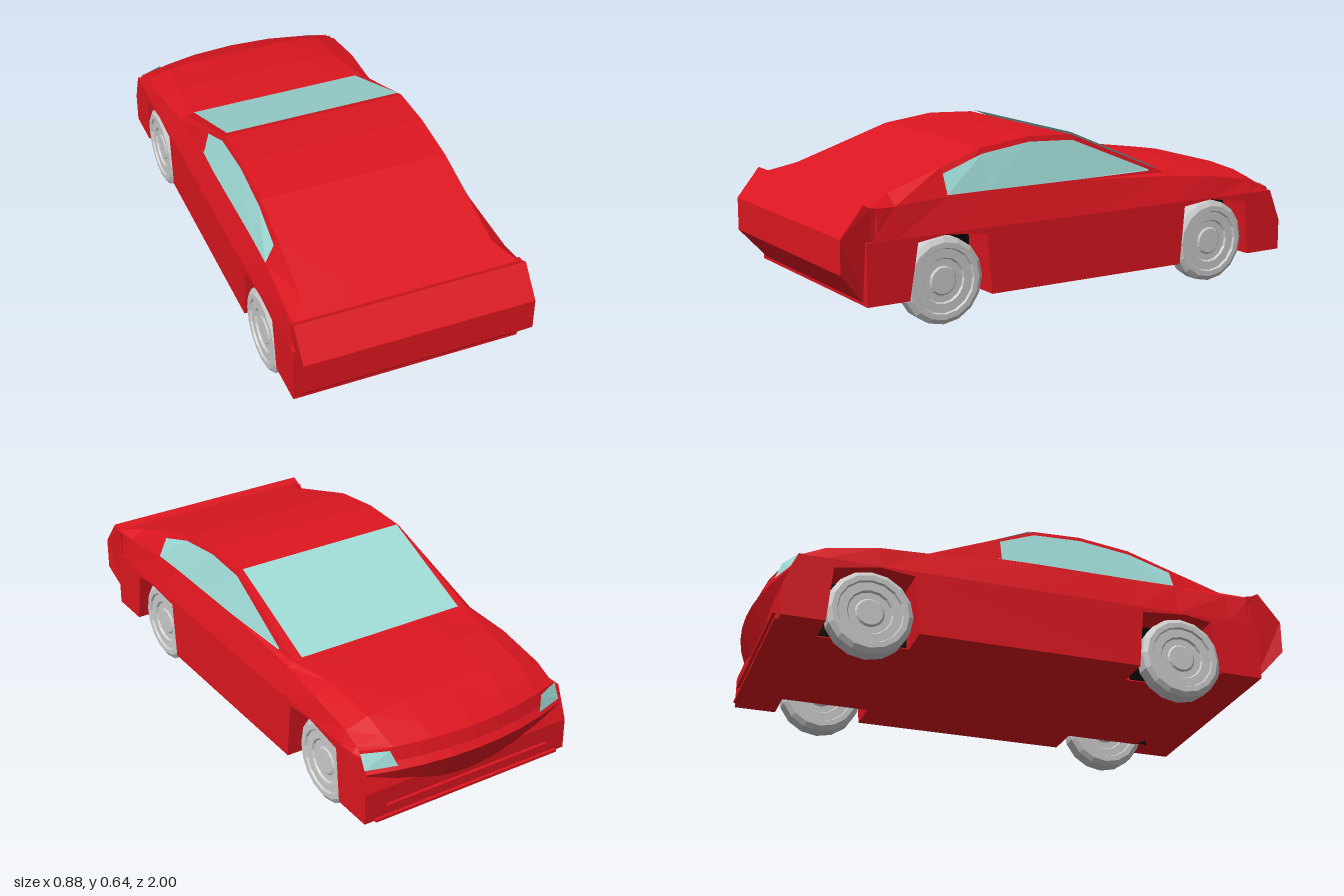
import * as THREE from 'three';

const mat = (color) => new THREE.MeshStandardMaterial({ color, flatShading: true, side: THREE.DoubleSide });
const paint = mat(0xdd1620), glass = mat(0xa0dcd8), black = mat(0x0c0202), grey = mat(0xcccccc);

// Upper body stations: z, centre height, crown drop, top half-width, shoulder height, shoulder half-width, belt half-width, plan curve
const BELT = 0.345;
const stations = [
  [0.88, 0.465, 0, 0.425, 0.460, 0.435, 0.44, 0],
  [0.78, 0.497, 0, 0.370, 0.458, 0.425, 0.44, 0],
  [0.57, 0.565, 0, 0.365, 0.468, 0.410, 0.44, 0],
  [0.40, 0.620, 0, 0.362, 0.470, 0.405, 0.44, 0],
  [0.20, 0.645, 0, 0.360, 0.470, 0.405, 0.44, 0],
  [0.01, 0.636, 0, 0.362, 0.470, 0.405, 0.44, 0],
  [-0.41, 0.459, 0.002, 0.385, 0.445, 0.408, 0.44, 0],
  [-0.60, 0.460, 0.008, 0.340, 0.430, 0.420, 0.44, 0],
  [-0.80, 0.435, 0.012, 0.330, 0.395, 0.420, 0.44, 0],
  [-0.90, 0.393, 0.010, 0.320, 0.365, 0.420, 0.435, 0.2],
  [-0.965, 0.362, 0.003, 0.310, 0.352, 0.415, 0.425, 0.4],
];

// Grid of rows of [x, y, z] points turned into a surface
function surface(rows) {
  const n = rows[0].length, index = [];
  for (let i = 0; i < rows.length - 1; i++)
    for (let j = 0; j < n - 1; j++) {
      const a = i * n + j, b = a + n;
      index.push(a, a + 1, b, b, a + 1, b + 1);
    }
  const g = new THREE.BufferGeometry();
  g.setAttribute('position', new THREE.Float32BufferAttribute(rows.flat(2), 3));
  g.setIndex(index);
  g.computeVertexNormals();
  return g;
}

// Side profile of [z, y] points extruded across x from x0 to x1
function slab(profile, x0, x1, steps = 1) {
  const shape = new THREE.Shape(profile.map(([z, y]) => new THREE.Vector2(z, y)));
  const g = new THREE.ExtrudeGeometry(shape, { depth: x1 - x0, steps, bevelEnabled: false });
  return g.rotateY(-Math.PI / 2).translate(x1, 0, 0);
}

// Move each vertex by a rule
function warp(g, rule) {
  const p = g.attributes.position, v = new THREE.Vector3();
  for (let i = 0; i < p.count; i++) {
    rule(v.fromBufferAttribute(p, i));
    p.setXYZ(i, v.x, v.y, v.z);
  }
  g.computeVertexNormals();
  return g;
}

// Half-width of the cabin side at a given z and y
function cabinX(z, y) {
  let i = 0;
  while (i < stations.length - 2 && stations[i + 1][0] > z) i++;
  const s = stations[i], e = stations[i + 1], t = (s[0] - z) / (s[0] - e[0]);
  const [, top, , topW, sh, shW] = s.map((v, k) => v + (e[k] - v) * t);
  return shW + (topW - shW) * (y - sh) / (top - sh);
}

export function createModel() {
  const car = new THREE.Group();
  car.name = 'car';
  const add = (name, g, m) => {
    const mesh = new THREE.Mesh(g, m);
    mesh.name = name;
    car.add(mesh);
    return mesh;
  };

  // Cabin, bonnet and rear deck
  add('upperBody', surface(stations.map(([z, y, drop, tw, sy, sw, bw, curve]) => {
    const half = [[tw * 0.55, y], [tw, y - drop], [sw, sy], [bw, BELT]];
    const line = [...half.map(([x, h]) => [-x, h]).reverse(), [0, y], ...half];
    return line.map(([x, h]) => [x, h, z + curve * x * x]);
  })), paint);

  // Lower body: closed core plus side panels with wheel arches
  const topLine = [[-0.95, 0.1], [-0.95, 0.22], [-0.9, BELT], [0.9, BELT], [0.9, 0.12]];
  add('lowerCore', slab([...topLine, [0.735, 0.12], [0.7, 0.1]], -0.3, 0.3), paint);
  const arches = [
    [0.735, 0.12], [0.7, 0.325], [0.59, 0.34], [0.42, 0.325], [0.4, 0.1],
    [-0.45, 0.1], [-0.47, 0.325], [-0.6, 0.34], [-0.77, 0.312], [-0.79, 0.1],
  ];
  for (const [x0, x1] of [[0.3, 0.44], [-0.44, -0.3]])
    add('sidePanel', slab([...topLine, ...arches], x0, x1), paint);

  // Tail with raised spoiler edge, tapered at the bottom corners
  const tail = slab([[0.86, 0.12], [0.86, 0.462], [0.885, 0.466], [0.91, 0.48], [1, 0.37], [1, 0.245], [0.89, 0.12]], -0.44, 0.44);
  add('tail', warp(tail, (v) => { if (v.y < 0.13 && v.z > 0.88) v.x *= 0.92; }), paint);

  // Nose, curved in plan
  const nose = slab([[-0.88, 0.17], [-0.88, 0.358], [-0.965, 0.358], [-0.98, 0.31], [-1, 0.285], [-0.95, 0.17]], -0.42, 0.42, 8);
  add('nose', warp(nose, (v) => { v.z += 0.4 * v.x * v.x; }), paint);

  // Bumper lip and slot trim
  for (const [y, w] of [[0.105, 0.8], [0.15, 0.7]])
    add('bumperTrim', new THREE.BoxGeometry(w, 0.01, 0.02).translate(0, y, -0.952), paint);

  // Windscreen
  add('windscreen', surface([[0.003, 0.643], [-0.408, 0.466]].map(([z, y]) => [[-0.35, y, z], [0.35, y, z]])), glass);

  // Side windows and headlights
  const windowTop = [[0.565, 0.545], [0.4, 0.6], [0.2, 0.626], [0.01, 0.617], [-0.325, 0.478]];
  for (const s of [1, -1]) {
    add('sideWindow', surface(windowTop.map(([z, top]) =>
      [top, 0.473].map((y) => [s * (cabinX(z, y) + 0.004), y, z]))), glass);
    add('headlight', surface([
      [[s * 0.425, 0.355, -0.895], [s * 0.425, 0.3, -0.922]],
      [[s * 0.33, 0.355, -0.935], [s * 0.31, 0.3, -0.957]],
    ]), glass);
  }

  // Wheels: tyre, rim and hub steps on both faces
  const face = [[0, 0.03], [0.048, 0.03], [0.055, 0.024], [0.08, 0.024], [0.085, 0.032], [0.118, 0.032], [0.122, 0.04], [0.142, 0.04], [0.16, 0.028]];
  const outline = [...face.map(([r, x]) => [r, -x]), ...face.slice().reverse()];
  const wheelGeo = new THREE.LatheGeometry(outline.map(([r, x]) => new THREE.Vector2(r, x)), 16).rotateZ(Math.PI / 2);
  for (const z of [0.575, -0.63])
    for (const [x, s] of [[0.365, 1], [-0.4, -1]]) {
      add(z > 0 ? 'rearWheel' : 'frontWheel', wheelGeo, grey).position.set(x, 0.162, z);
      // Dark inner wall of the wheel well
      add('wheelWell', new THREE.BoxGeometry(0.004, 0.235, 0.33).translate(s * 0.302, 0.222, z + 0.005), black);
    }
  return car;
}
